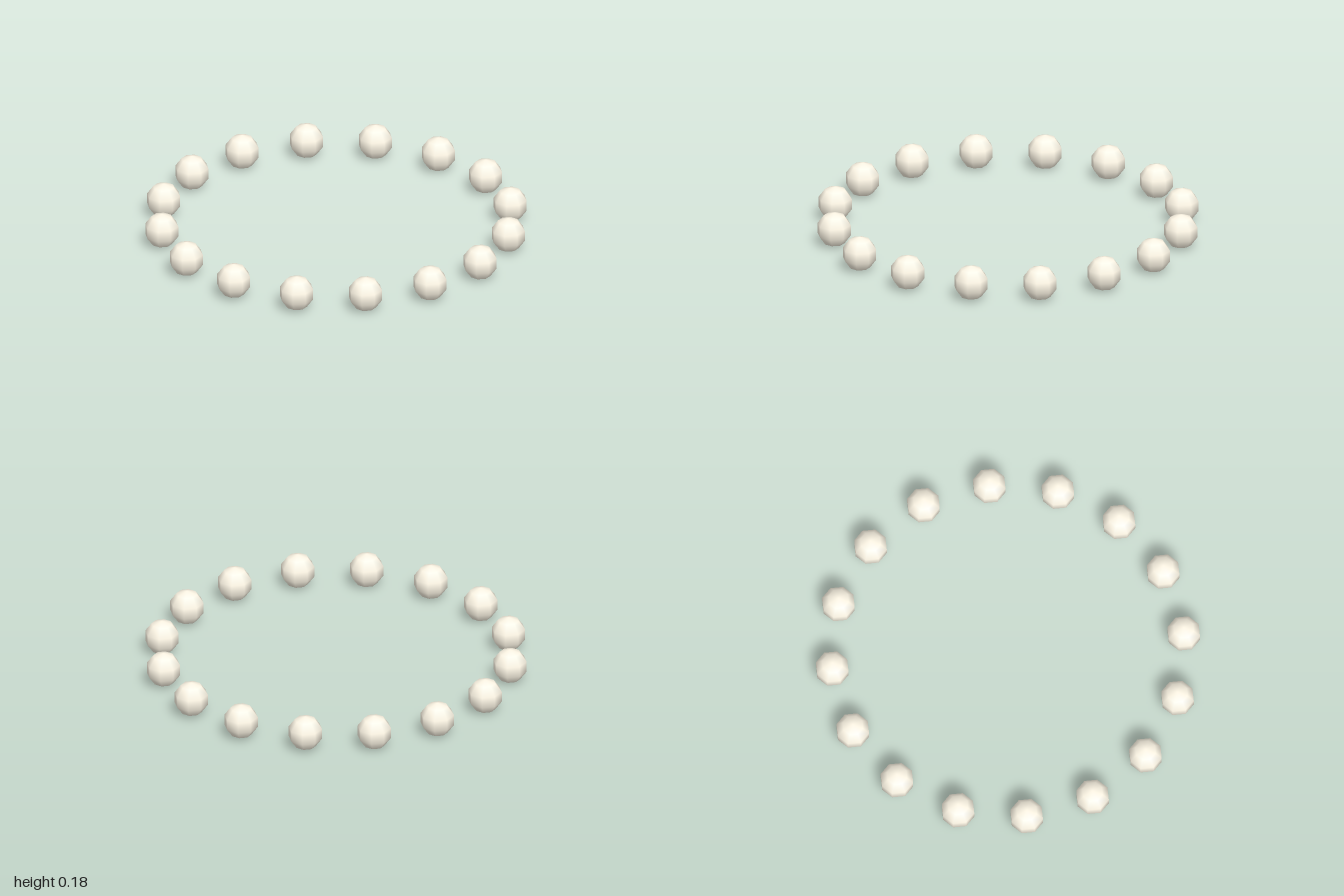
import * as THREE from 'three';

export function createModel() {
  const group = new THREE.Group();
  group.name = 'beadRing';

  const count = 16;
  const beadRadius = 0.092;
  // The widest rows of a five-band sphere sit at 72 degrees from the pole
  const ringRadius = 1 - beadRadius * Math.sin(Math.PI * 0.4);

  // Warm ivory
  const material = new THREE.MeshStandardMaterial({ color: 0xfff8e7 });
  const beadGeometry = new THREE.SphereGeometry(beadRadius, 8, 5);

  // Evenly spaced beads, all facing the same way
  for (let i = 0; i < count; i++) {
    const angle = (i / count) * Math.PI * 2;
    const bead = new THREE.Mesh(beadGeometry, material);
    bead.name = `bead${i + 1}`;
    bead.position.set(Math.cos(angle) * ringRadius, beadRadius, Math.sin(angle) * ringRadius);
    group.add(bead);
  }
  return group;
}
